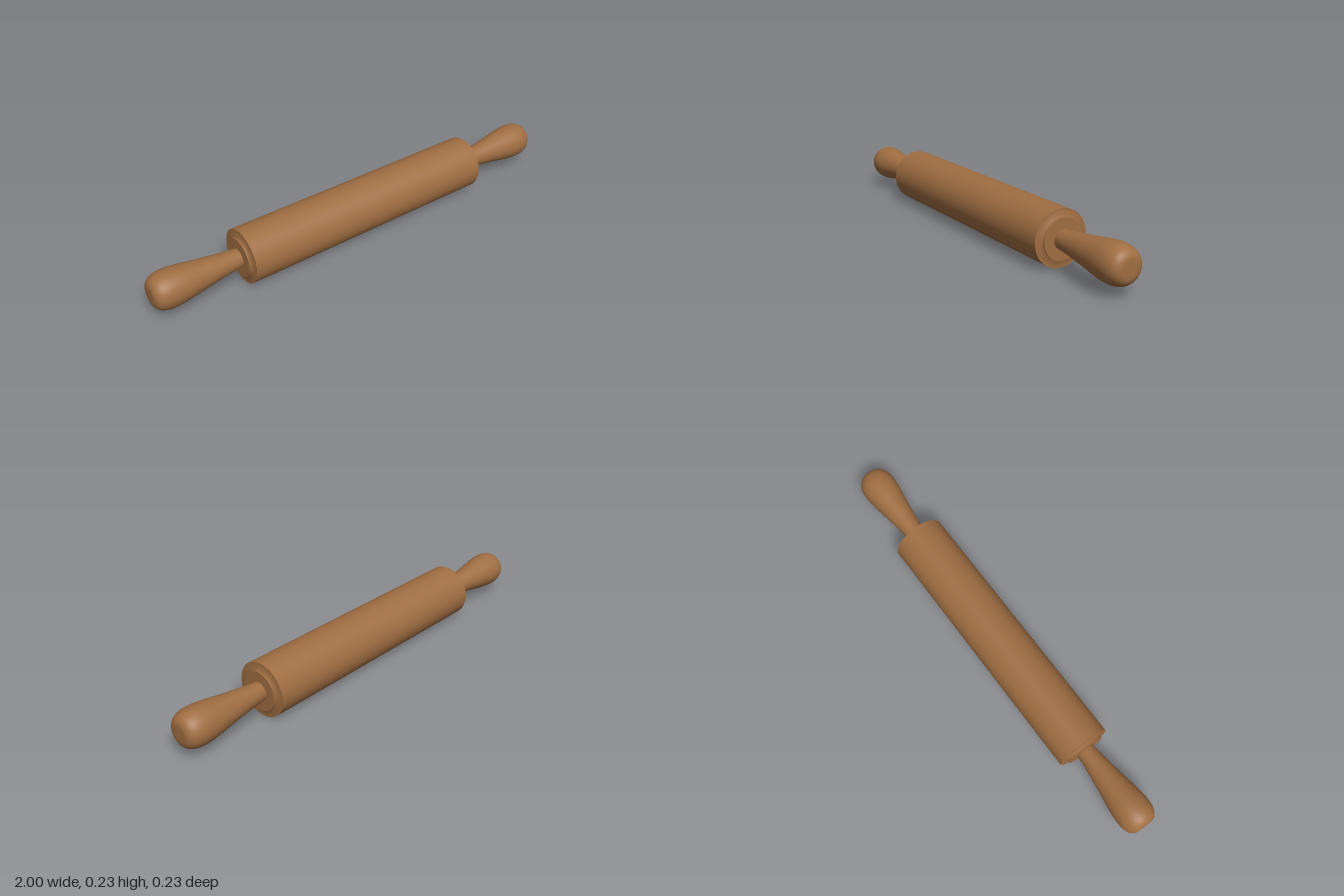
import * as THREE from 'three';

export function createModel() {
  const model = new THREE.Group();
  model.name = 'rollingPin';
  const wood = new THREE.MeshStandardMaterial({ color: 0xa06e42 });
  wood.name = 'wood';

  const R = 0.1175, SEGMENTS = 64;

  // Turned part: points are [distance along the axis, radius]
  function turned(name, points, parent) {
    const profile = points.map(([x, r]) => new THREE.Vector2(r, x));
    const mesh = new THREE.Mesh(new THREE.LatheGeometry(profile, SEGMENTS), wood);
    mesh.name = name;
    parent.add(mesh);
  }

  // Main roller
  const body = new THREE.Group();
  body.name = 'roller';
  body.rotation.z = -Math.PI / 2;
  turned('barrel', [[-0.6, R], [0.6, R]], body);
  model.add(body);

  // Handle outline: slim neck, swelling grip, rounded end
  const grip = new THREE.SplineCurve([
    [0.612, 0.040], [0.68, 0.047], [0.78, 0.061], [0.87, 0.075], [0.92, 0.079],
    [0.955, 0.076], [0.982, 0.065], [0.996, 0.048], [1, 0.028], [1, 0],
  ].map(([x, r]) => new THREE.Vector2(x, r)));
  const gripPoints = grip.getPoints(45).map(p => [Math.min(p.x, 1), Math.max(p.y, 0)]);

  // Same end on both sides
  for (const side of [1, -1]) {
    const end = new THREE.Group();
    end.name = side > 0 ? 'leftEnd' : 'rightEnd';
    end.rotation.z = -side * Math.PI / 2;
    turned('endFaceAndCollar', [[0.6, R], [0.6, 0.085], [0.614, 0.085]], end);
    turned('collarFace', [[0.614, 0.085], [0.614, 0.036]], end);
    turned('handle', gripPoints, end);
    model.add(end);
  }

  model.position.y = R;
  const root = new THREE.Group();
  root.name = 'model';
  root.add(model);
  return root;
}
